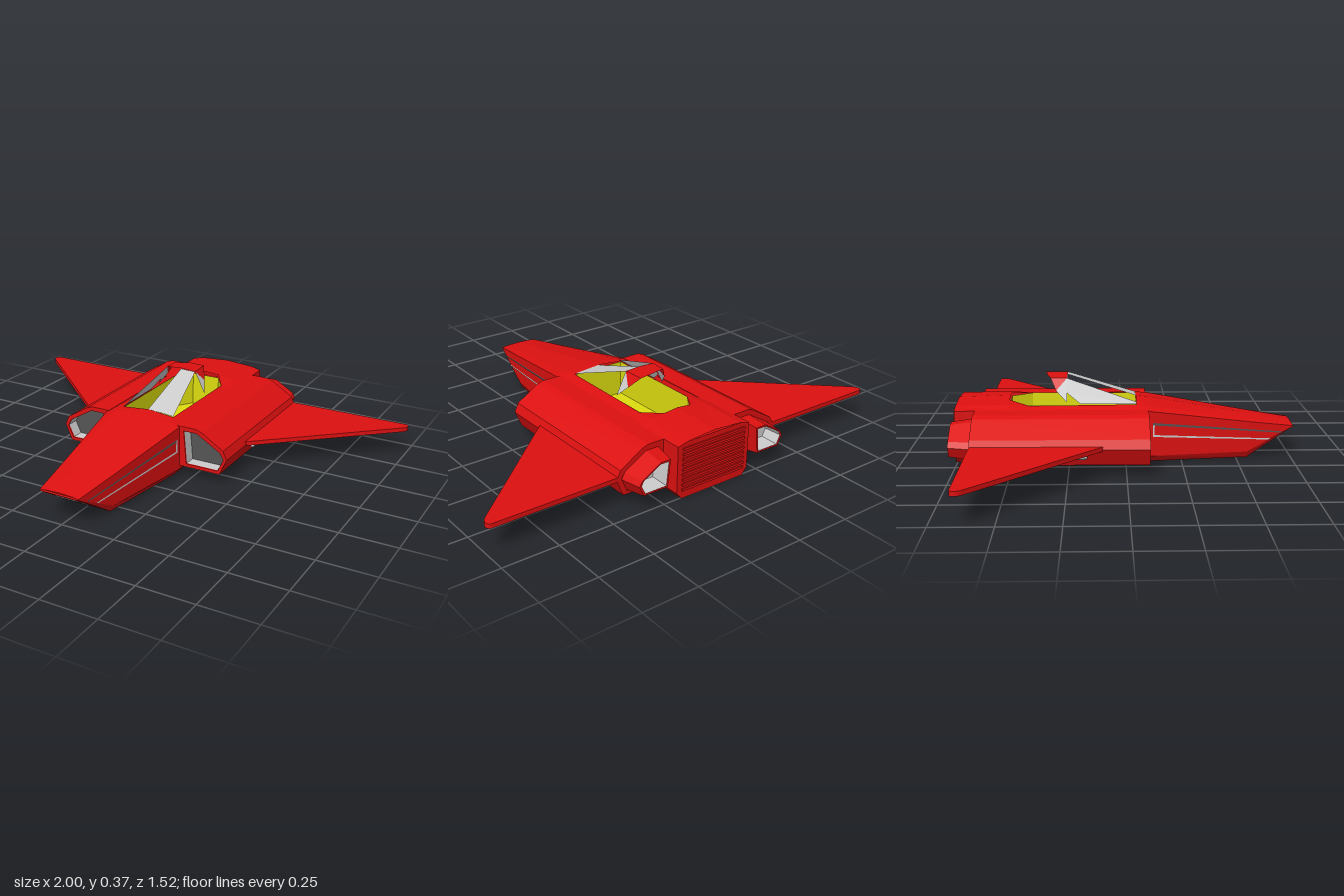
import * as THREE from 'three';

const mat = (color) => new THREE.MeshStandardMaterial({ color, flatShading: true, side: THREE.DoubleSide });
const RED = mat(0xdd1010), YELLOW = mat(0xdddd10), GREY = mat(0xcccccc), DARK = mat(0x555555);

function add(parent, name, geometry, material) {
  const mesh = new THREE.Mesh(geometry, material);
  mesh.name = name;
  parent.add(mesh);
  return mesh;
}

// Skin joining successive rings of [x, y, z] points
function loft(rings, closed = false) {
  const out = [];
  for (let i = 0; i + 1 < rings.length; i++) {
    const a = rings[i], b = rings[i + 1], n = a.length;
    for (let j = 0; j < (closed ? n : n - 1); j++) {
      const k = (j + 1) % n;
      out.push(...a[j], ...b[j], ...b[k], ...a[j], ...b[k], ...a[k]);
    }
  }
  const g = new THREE.BufferGeometry();
  g.setAttribute('position', new THREE.Float32BufferAttribute(out, 3));
  g.computeVertexNormals();
  return g;
}

const shapeOf = (pts) => new THREE.Shape(pts.map(([x, y]) => new THREE.Vector2(x, y)));
const ringAt = (pts, z) => pts.map(([x, y]) => [x, y, z]);
const quad = (a, b, c, d) => loft([[a, b], [d, c]]);
// Outline scaled about the middle of the engine pod
const podScale = (pts, s) => pts.map(([x, y]) => [0.3 + (x - 0.3) * s, 0.143 + (y - 0.143) * s]);

// Half-section mirrored into an open ring; w is the half width of the cockpit opening
function section([z, hw, w, crest, shoulder, low, bottom]) {
  const k = hw / 0.19;
  const half = [
    [w, crest - (w / 0.14) * (crest - shoulder) * 0.45],
    [0.14 * k, crest - (crest - shoulder) * 0.45],
    [hw, shoulder], [hw, low], [0.165 * k, bottom],
  ];
  const left = half.map(([x, y]) => [x, y, z]);
  return [...left, ...left.map(([x, y]) => [-x, y, z]).reverse()];
}

function fuselage(group) {
  const stations = [
    [0.76, 0.095, 0, 0.148, 0.142, 0.138, 0.135],
    [0.55, 0.125, 0, 0.183, 0.17, 0.03, 0],
    [0.10, 0.19, 0, 0.26, 0.235, 0.03, 0],
    [0.05, 0.19, 0, 0.265, 0.235, 0.03, 0],
    [0.05, 0.19, 0.13, 0.265, 0.235, 0.03, 0],
    [-0.43, 0.19, 0.13, 0.258, 0.235, 0.03, 0],
    [-0.52, 0.19, 0.07, 0.27, 0.24, 0.03, 0],
    [-0.52, 0.19, 0, 0.27, 0.24, 0.03, 0],
    [-0.755, 0.19, 0, 0.262, 0.24, 0.03, 0],
  ].map(section);
  add(group, 'fuselage', loft(stations), RED);
  for (const [name, ring] of [['noseTip', stations[0]], ['tailPlate', stations.at(-1)]]) {
    const cap = new THREE.ShapeGeometry(shapeOf(ring.slice(1, -1)));
    cap.translate(0, 0, ring[0][2]);
    add(group, name, cap, RED);
  }

  // Tail grille
  for (let i = 0; i < 9; i++) {
    const rib = new THREE.BoxGeometry(0.33, 0.011, 0.008);
    rib.translate(0, 0.04 + i * 0.023, -0.757);
    add(group, 'tailRib', rib, RED);
  }

  // Chin vent, lying on the sloped underside of the nose
  const vent = add(group, 'chinVent', new THREE.BoxGeometry(0.11, 0.1, 0.008), DARK);
  vent.position.set(0, 0.077, 0.67);
  vent.rotation.x = 1.0;
}

function cockpit(group) {
  const plan = [[0.13, 0.05], [0.13, -0.43], [0.07, -0.52], [-0.07, -0.52], [-0.13, -0.43], [-0.13, 0.05]];
  const level = (y) => plan.map(([x, z]) => [x, y, z]);
  add(group, 'cockpitWalls', loft([level(0.25), level(0.09)], true), YELLOW);
  const floor = new THREE.ShapeGeometry(shapeOf(plan));
  floor.rotateX(Math.PI / 2);
  floor.translate(0, 0.09, 0);
  add(group, 'cockpitFloor', floor, YELLOW);

  // Windshield panes
  add(group, 'frontPane', quad([0, 0.265, 0.05], [0.13, 0.255, 0.05], [0.075, 0.362, -0.26], [0, 0.365, -0.26]), GREY);
  add(group, 'sidePane', quad([-0.13, 0.255, 0.05], [-0.12, 0.262, 0.05], [-0.075, 0.362, -0.26], [-0.105, 0.3, -0.26]), GREY);
  add(group, 'sidePaneFoot', quad([-0.13, 0.255, 0.05], [-0.105, 0.3, -0.26], [-0.13, 0.255, -0.2], [-0.13, 0.255, -0.2]), GREY);

  // Canopy roof with its swept sides
  add(group, 'canopyRoof', quad([-0.075, 0.363, -0.26], [0, 0.367, -0.26], [0, 0.367, -0.355], [-0.07, 0.363, -0.335]), RED);
  add(group, 'canopyRoof', quad([0, 0.367, -0.26], [0.075, 0.363, -0.26], [0.07, 0.363, -0.36], [0, 0.367, -0.355]), RED);
  for (const s of [1, -1]) {
    const top = [s * 0.075, 0.363, -0.26], mid = [s * 0.1, 0.31, -0.31];
    add(group, 'canopySide', quad(top, [s * 0.07, 0.363, s > 0 ? -0.36 : -0.335], mid, mid), RED);
    add(group, 'canopySideGlass', quad(top, mid, [s * 0.125, 0.262, -0.262], [s * 0.125, 0.262, -0.262]), GREY);
  }
}

// Everything on the left side; mirrored for the right
function sideParts() {
  const side = new THREE.Group();

  // Engine pod with open intake
  const outer = [[0.18, 0.24], [0.27, 0.24], [0.30, 0.23], [0.405, 0.165], [0.423, 0.125], [0.39, 0.05], [0.18, 0.05]];
  const inner = [[0.21, 0.22], [0.275, 0.22], [0.39, 0.152], [0.407, 0.122], [0.38, 0.065], [0.225, 0.065]];
  const rim = shapeOf(outer);
  rim.holes.push(shapeOf(inner));
  const pod = new THREE.ExtrudeGeometry(rim, { depth: 0.765, bevelEnabled: false });
  pod.translate(0, 0, -0.665);
  add(side, 'enginePod', pod, RED);
  const liner = podScale(inner, 0.985);
  add(side, 'intakeLiner', loft([ringAt(liner, 0.095), ringAt(liner, 0.0)], true), GREY);
  const plate = new THREE.ShapeGeometry(shapeOf(inner));
  add(side, 'intakePlate', plate.clone().translate(0, 0, 0.04), DARK);
  add(side, 'podRearPlate', plate.clone().translate(0, 0, -0.664), RED);

  // Tapered exhaust nozzle
  const mouth = podScale(inner, 0.78), lip = podScale(inner, 0.68), throat = podScale(inner, 0.6);
  add(side, 'nozzle', loft([ringAt(podScale(inner, 0.93), -0.66), ringAt(mouth, -0.76), ringAt(lip, -0.76)], true), RED);
  add(side, 'nozzleLiner', loft([ringAt(lip, -0.76), ringAt(throat, -0.68)], true), GREY);
  add(side, 'nozzleCore', new THREE.ShapeGeometry(shapeOf(throat)).translate(0, 0, -0.68), GREY);

  // Thin delta wing with rounded tip
  const wing = new THREE.Shape();
  wing.moveTo(0.39, 0.075);
  wing.lineTo(0.985, 0.615);
  wing.quadraticCurveTo(1.0, 0.63, 1.0, 0.645);
  wing.quadraticCurveTo(1.0, 0.665, 0.98, 0.665);
  wing.lineTo(0.39, 0.665);
  const wingGeo = new THREE.ExtrudeGeometry(wing, { depth: 0.02, bevelEnabled: false });
  wingGeo.rotateX(-Math.PI / 2);
  wingGeo.translate(0, 0.118, 0);
  add(side, 'wing', wingGeo, RED);

  // Slim barrel below the wing
  const barrel = new THREE.CapsuleGeometry(0.01, 0.105, 4, 10);
  barrel.rotateX(Math.PI / 2);
  barrel.translate(0.42, 0.093, -0.23);
  add(side, 'barrel', barrel, GREY);

  // Trim strips along the nose
  const wallX = (z) => 0.098 + 0.095 * (0.76 - z) / 0.66;
  const strip = (name, z0, y0, z1, y1, t0, t1, m) => add(side, name, quad(
    [wallX(z0), y0, z0], [wallX(z1), y1, z1], [wallX(z1), y1 - t1, z1], [wallX(z0), y0 - t0, z0]), m);
  strip('upperTrim', 0.71, 0.118, 0.12, 0.182, 0.006, 0.011, DARK);
  strip('lowerTrim', 0.655, 0.088, 0.12, 0.127, 0.006, 0.009, GREY);
  strip('endTrim', 0.128, 0.18, 0.12, 0.18, 0.058, 0.058, GREY);
  return side;
}

export function createModel() {
  const model = new THREE.Group();
  model.name = 'spacecraft';
  fuselage(model);
  cockpit(model);
  const left = sideParts();
  left.name = 'leftSide';
  const right = sideParts();
  right.name = 'rightSide';
  right.scale.x = -1;
  model.add(left, right);
  return model;
}
